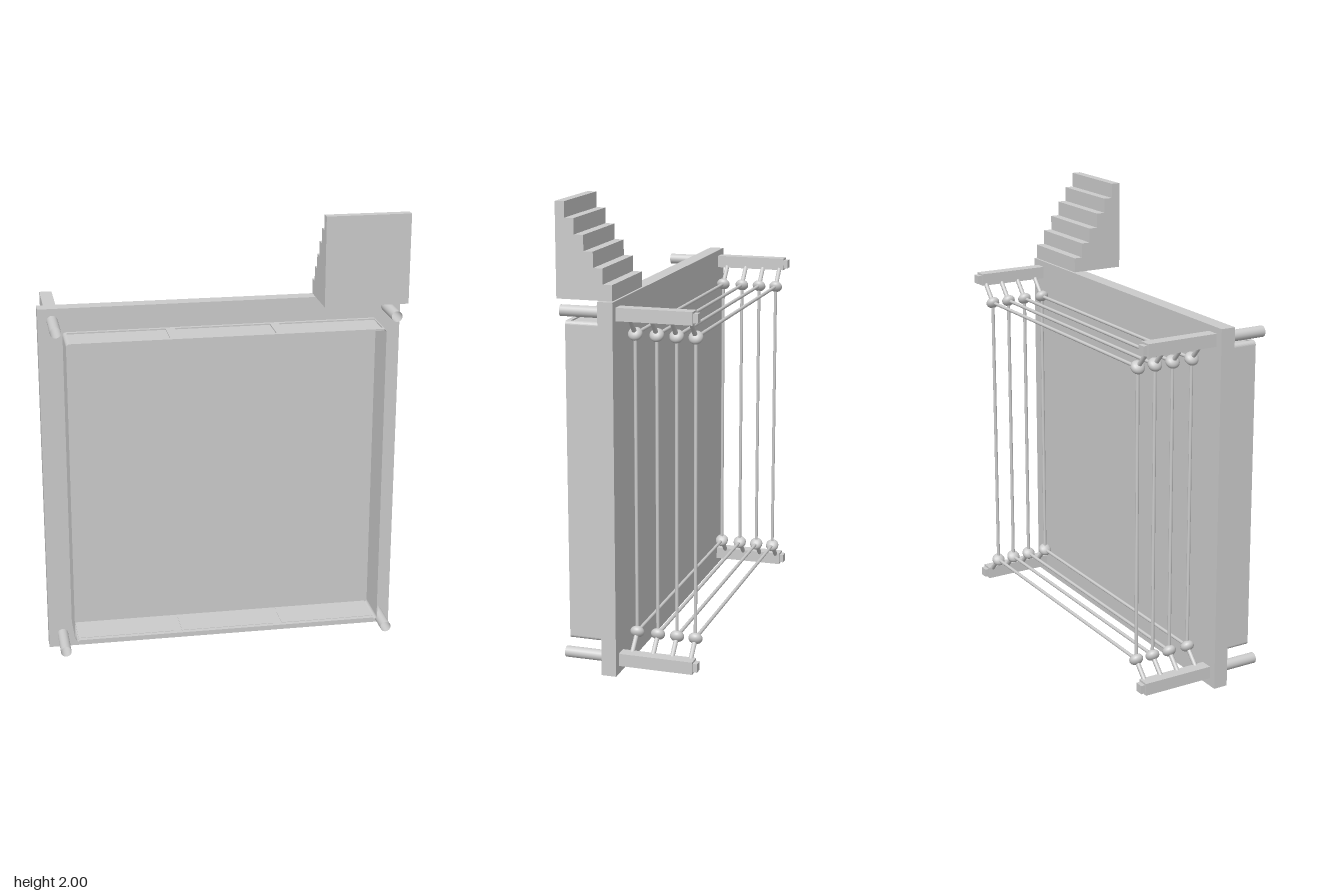
import * as THREE from 'three';

export function createModel() {
  const model = new THREE.Group();
  const mat = new THREE.MeshStandardMaterial({ color: 0xcccccc });
  const openMat = new THREE.MeshStandardMaterial({ color: 0xcccccc, side: THREE.DoubleSide });
  const CY = 0.802; // height of the square ring's centre

  function add(parent, name, geo, x = 0, y = 0, z = 0) {
    const m = new THREE.Mesh(geo, mat);
    m.name = name;
    m.position.set(x, y, z);
    parent.add(m);
    return m;
  }
  const box = (parent, name, x0, x1, y0, y1, z0, z1) =>
    add(parent, name, new THREE.BoxGeometry(x1 - x0, y1 - y0, z1 - z0),
      (x0 + x1) / 2, (y0 + y1) / 2, (z0 + z1) / 2);

  // Round bar between two points
  function bar(parent, name, a, b, r, sides = 12, open = false) {
    const d = b.clone().sub(a);
    const m = add(parent, name, new THREE.CylinderGeometry(r, r, d.length(), sides, 1, open));
    m.position.copy(a).add(b).multiplyScalar(0.5);
    m.quaternion.setFromUnitVectors(new THREE.Vector3(0, 1, 0), d.normalize());
    return m;
  }
  const V = (x, y, z) => new THREE.Vector3(x, y, z);

  // Platform slab, standing on its edge
  box(model, 'platform', -0.8, 0.8, 0, 1.603, 0.049, 0.114);

  // Hollow skirt: thin plain sides with rounded corners, recessed panels top and bottom
  const skirt = new THREE.Group();
  skirt.name = 'skirt';
  model.add(skirt);
  const Z0 = 0.114, Z1 = 0.295, P0 = 0.13, P1 = 0.275, H = 0.695, T = 0.003, F = 0.008, R = 0.016;
  const c = H - R;
  for (const s of [-1, 1]) {
    const side = new THREE.Shape();
    side.moveTo(c, -H);
    side.absarc(c, -c, R, -Math.PI / 2, 0, false);
    side.absarc(c, c, R, 0, Math.PI / 2, false);
    side.lineTo(c, H - T);
    side.absarc(c, c, R - T, Math.PI / 2, 0, true);
    side.absarc(c, -c, R - T, 0, -Math.PI / 2, true);
    const geo = new THREE.ExtrudeGeometry(side, { depth: Z1 - Z0, bevelEnabled: false, curveSegments: 5 });
    const wall = add(skirt, 'skirtSide', geo, 0, CY, Z0);
    if (s < 0) wall.rotation.z = Math.PI;

    // Frame and panels of the top or bottom wall
    const wallY = CY + s * (H - F / 2), panelY = CY + s * (H - F);
    const frame = (x0, x1, z0, z1) => box(skirt, 'skirtFrame', x0, x1, wallY - F / 2, wallY + F / 2, z0, z1);
    frame(-c, c, Z0, P0);
    frame(-c, c, P1, Z1);
    for (const x of [-0.23, 0.23]) frame(x - 0.02, x + 0.02, P0, P1);
    for (const [a, b] of [[-c, -0.25], [-0.21, 0.21], [0.25, c]])
      box(skirt, 'skirtPanel', a, b, panelY - 0.002, panelY + 0.002, P0, P1);
  }

  // Corner posts, caps, hollow legs and rope fittings
  const ropeZ = [0.005, -0.088, -0.173, -0.255];
  const PX = 0.737, PY = 0.743, K = 0.649;
  const ball = new THREE.SphereGeometry(0.031, 16, 12);
  for (const sx of [-1, 1]) for (const sy of [-1, 1]) {
    const corner = new THREE.Group();
    corner.name = 'corner';
    model.add(corner);
    const px = sx * PX, py = 0.806 + sy * PY;
    add(corner, 'post', new THREE.BoxGeometry(0.055, 0.055, 0.325), px, py, -0.1135);
    add(corner, 'postCap', new THREE.BoxGeometry(0.038, 0.038, 0.02), px, py, -0.285);
    bar(corner, 'leg', V(px, py, 0.114), V(px, py, 0.295), 0.024, 20, true).material = openMat;
    for (const z of ropeZ) {
      const kx = sx * K, ky = CY + sy * K;
      bar(corner, 'ropeConnector', V(px, py, z), V(kx, ky, z), 0.01);
      const k = add(corner, 'ropeKnob', ball, kx, ky, z);
      k.rotation.z = sx * sy * Math.PI / 4;
      k.scale.set(0.75, 1, 1);
    }
  }

  // Four square loops of rope
  for (const z of ropeZ) {
    const loop = new THREE.Group();
    loop.name = 'ropeLoop';
    model.add(loop);
    for (const s of [-1, 1]) {
      bar(loop, 'rope', V(-K, CY + s * K, z), V(K, CY + s * K, z), 0.0075);
      bar(loop, 'rope', V(s * K, CY - K, z), V(s * K, CY + K, z), 0.0075);
    }
  }

  // Solid flight of six steps, drawn in (-z, y) and extruded along x
  const steps = 6, run = 0.04, rise = 0.0658, back = 0.295, base = 1.605;
  const profile = new THREE.Shape();
  profile.moveTo(-back, base);
  profile.lineTo(-back + steps * run, base);
  for (let i = 0; i < steps; i++) {
    const y = base + (i + 1) * rise;
    profile.lineTo(-back + (steps - i) * run, y);
    profile.lineTo(-back + (steps - i - 1) * run, y);
  }
  profile.closePath();
  const stairs = add(model, 'stairs',
    new THREE.ExtrudeGeometry(profile, { depth: 0.37, bevelEnabled: false }), 0.415, 0, 0);
  stairs.rotation.y = Math.PI / 2;

  return model;
}
